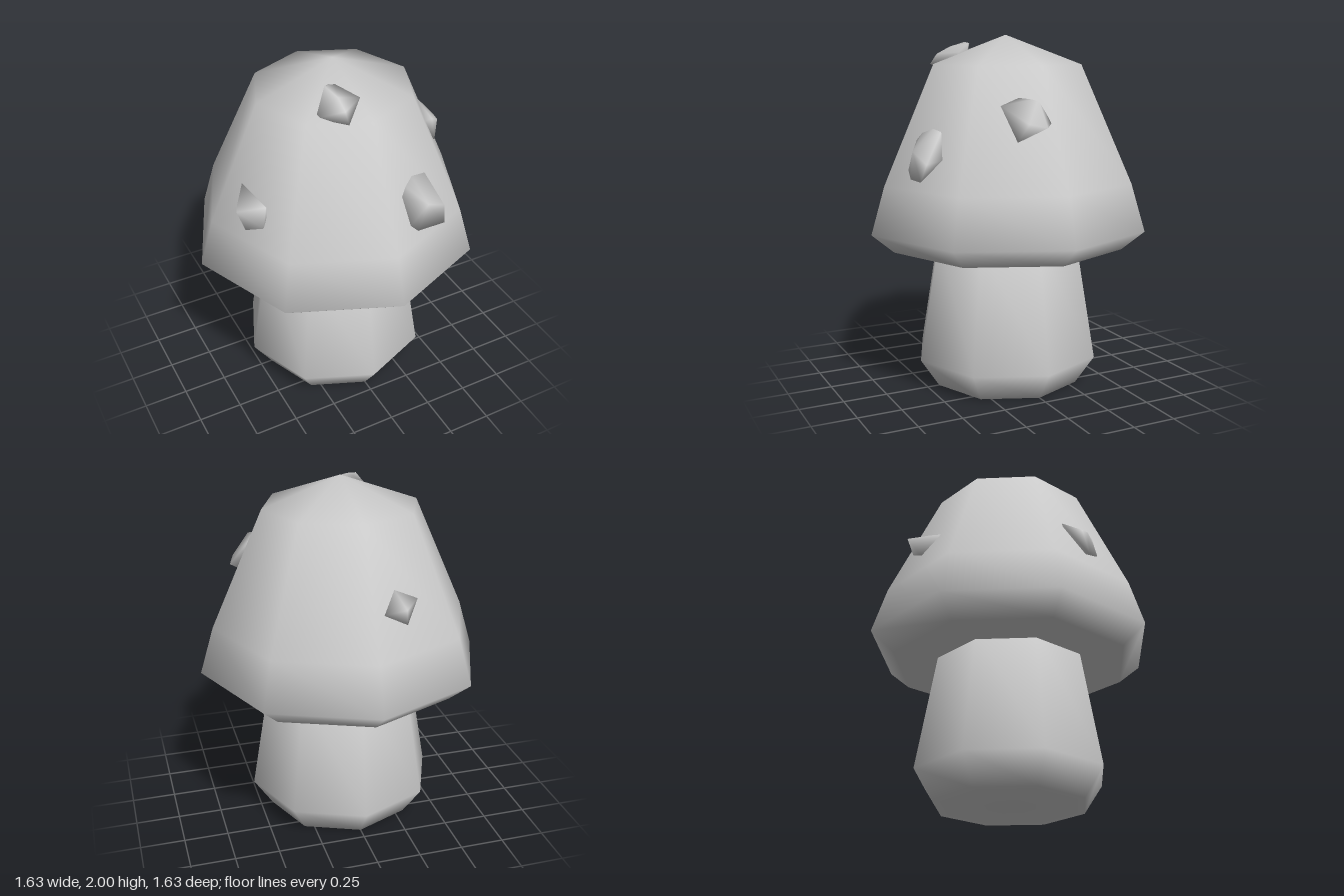
import * as THREE from 'three';
import { mergeVertices } from 'three/addons/utils/BufferGeometryUtils.js';
import { ConvexGeometry } from 'three/addons/geometries/ConvexGeometry.js';

// Weld all corners so the whole part shades smoothly
function smooth(geometry) {
  geometry.deleteAttribute('normal');
  geometry.deleteAttribute('uv');
  const welded = mergeVertices(geometry, 1e-4);
  welded.computeVertexNormals();
  return welded;
}

// Eight-sided turned solid from [radius, height] pairs, bottom to top
function turned(profile) {
  const points = profile.map(([r, y]) => new THREE.Vector2(r, y));
  return smooth(new THREE.LatheGeometry(points, 8));
}

// Angular chunk: its visible corners plus one anchor sunk into the cap
function chunk(corners) {
  const points = corners.map((c) => new THREE.Vector3(...c));
  const anchor = new THREE.Vector3();
  points.forEach((p) => anchor.add(p));
  anchor.divideScalar(points.length).lerp(new THREE.Vector3(0, 1.2, 0), 0.2);
  return smooth(new ConvexGeometry([...points, anchor]));
}

export function createModel() {
  const group = new THREE.Group();
  const paleGrey = new THREE.MeshStandardMaterial({ color: 0xcccccc });
  paleGrey.name = 'paleGrey';

  const add = (name, geometry) => {
    const mesh = new THREE.Mesh(geometry, paleGrey);
    mesh.name = name;
    group.add(mesh);
  };

  // Stem, tapering up from a bevelled foot into the cap
  add('stem', turned([[0, 0], [0.43, 0], [0.54, 0.165], [0.42, 0.87], [0, 0.87]]));

  // Cap with a bevelled underside and a shallow pointed top
  add('cap', turned([[0, 0.815], [0.685, 0.815], [0.815, 0.925], [0.735, 1.19], [0.44, 1.84], [0, 2]]));

  // Raised spots scattered over the cap
  add('frontSpot', chunk([
    [0.10, 1.445, 0.58], [0.13, 1.485, 0.56], [0.19, 1.51, 0.52], [0.275, 1.5, 0.51],
    [0.335, 1.36, 0.53], [0.34, 1.34, 0.62], [0.33, 1.25, 0.65], [0.17, 1.245, 0.645],
    [0.125, 1.29, 0.64], [0.22, 1.40, 0.65],
  ]));
  add('leftSpot', chunk([
    [0.47, 1.64, 0.26], [0.445, 1.695, 0.095], [0.485, 1.675, 0.05], [0.57, 1.55, 0.017],
    [0.54, 1.455, 0.196], [0.612, 1.53, 0.06], [0.58, 1.55, 0.15],
  ]));
  add('rightSpot', chunk([
    [-0.67, 1.37, 0.215], [-0.585, 1.455, 0.1], [-0.54, 1.41, 0.30], [-0.54, 1.34, 0.30],
    [-0.565, 1.295, 0.315], [-0.635, 1.26, 0.24], [-0.655, 1.39, 0.19],
  ]));
  add('backSpot', chunk([
    [-0.16, 1.45, -0.67], [-0.057, 1.41, -0.61], [-0.135, 1.515, -0.53],
    [-0.275, 1.445, -0.505], [-0.19, 1.34, -0.60],
  ]));
  add('topSpot', chunk([
    [-0.145, 1.96, 0.19], [-0.085, 1.955, 0.19], [-0.12, 1.95, 0.17], [0.005, 1.905, 0.29],
    [-0.12, 1.84, 0.41], [-0.245, 1.85, 0.29], [-0.12, 1.935, 0.29], [-0.12, 1.895, 0.37],
  ]));

  return group;
}
